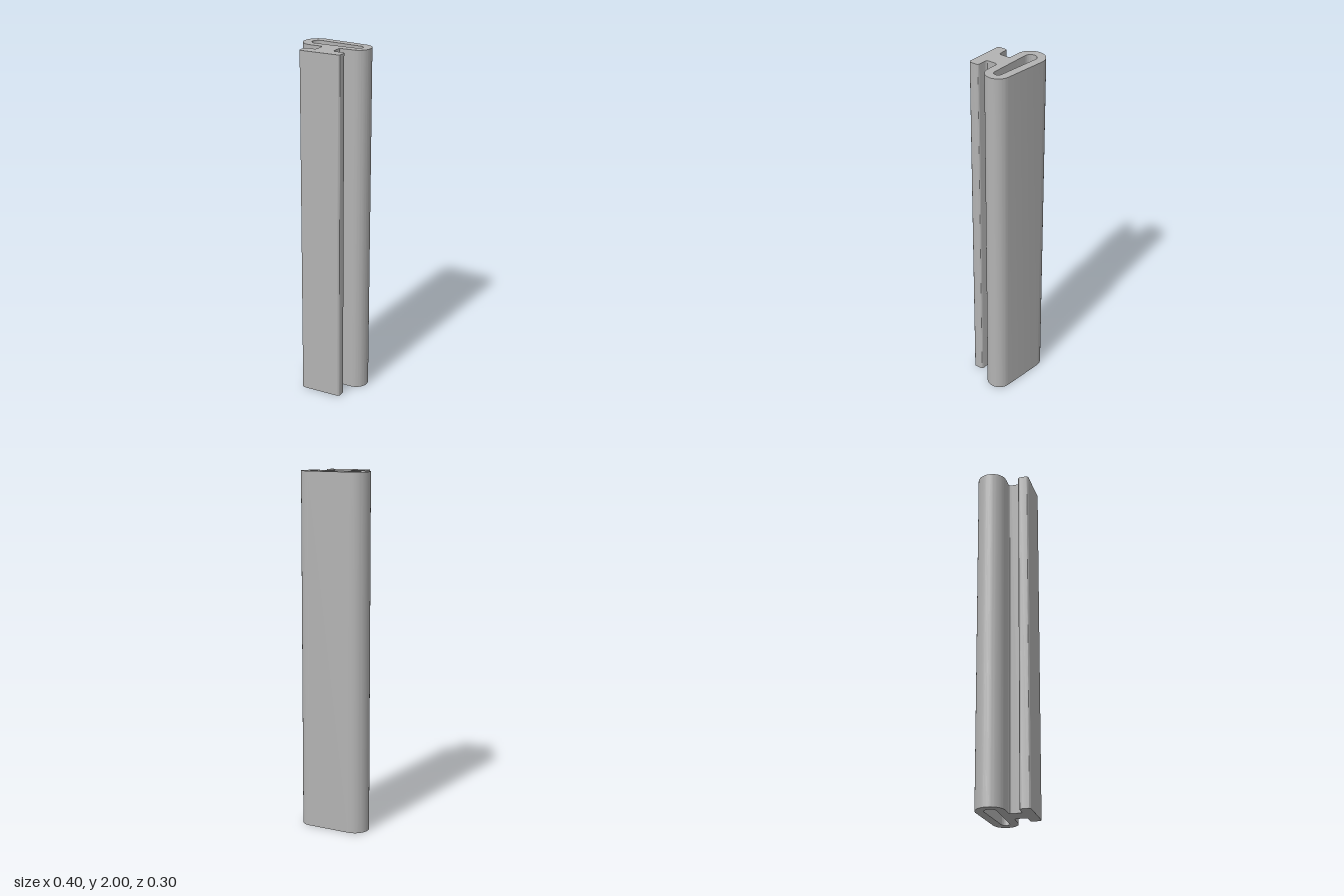
import * as THREE from 'three';
import { toCreasedNormals } from 'three/addons/utils/BufferGeometryUtils.js';

// Profile plane: shape x = model x, shape y = -z (back of the model is up).
const HEIGHT = 2;
const LEFT = { x: -0.1185, r: 0.0815 };
const RIGHT = { x: 0.1295, r: 0.0705 };
const BASE = -0.015; // underside of the loop
const WALL = 0.047;
const HALF_PI = Math.PI / 2;

// Both loop ends rest on the same base line, so the other side slopes
const tilt = HALF_PI - 2 * Math.atan((LEFT.r - RIGHT.r) / (RIGHT.x - LEFT.x));

// Rounded ends of the loop, inset by a wall thickness, counter-clockwise
function loopEnds(path, inset) {
  path.absarc(RIGHT.x, BASE + RIGHT.r, RIGHT.r - inset, -HALF_PI, tilt, false);
  path.absarc(LEFT.x, BASE + LEFT.r, LEFT.r - inset, tilt, 3 * HALF_PI, false);
}

function sealProfile() {
  const stem = 0.05, foot = 0.12, r = 0.014;
  const bottom = -0.148, top = -0.086;
  const s = new THREE.Shape();

  // right half of the foot, then the filleted stem
  s.moveTo(0, bottom);
  s.absarc(foot - r, bottom + r, r, -HALF_PI, 0, false);
  s.absarc(foot - r, top - r, r, 0, HALF_PI, false);
  s.absarc(stem + r, top + r, r, -HALF_PI, -Math.PI, true);
  s.absarc(stem + r, BASE - r, r, Math.PI, HALF_PI, true);

  loopEnds(s, 0);

  // left half, back down to the foot
  s.absarc(-stem - r, BASE - r, r, HALF_PI, 0, true);
  s.absarc(-stem - r, top + r, r, 0, -HALF_PI, true);
  s.absarc(-foot + r, top - r, r, HALF_PI, Math.PI, false);
  s.absarc(-foot + r, bottom + r, r, Math.PI, 3 * HALF_PI, false);
  s.closePath();

  // hollow chamber
  const hole = new THREE.Path();
  loopEnds(hole, WALL);
  hole.closePath();
  s.holes.push(hole);
  return s;
}

export function createModel() {
  const group = new THREE.Group();
  group.name = 'sealStrip';

  const grey = new THREE.MeshStandardMaterial({ color: 0xb3b3b3 });
  grey.name = 'grey';

  const extruded = new THREE.ExtrudeGeometry(sealProfile(), {
    depth: HEIGHT, bevelEnabled: false, curveSegments: 16,
  });
  extruded.rotateX(-HALF_PI);

  const strip = new THREE.Mesh(toCreasedNormals(extruded, 0.6), grey);
  strip.name = 'hollowProfile';
  group.add(strip);
  return group;
}
